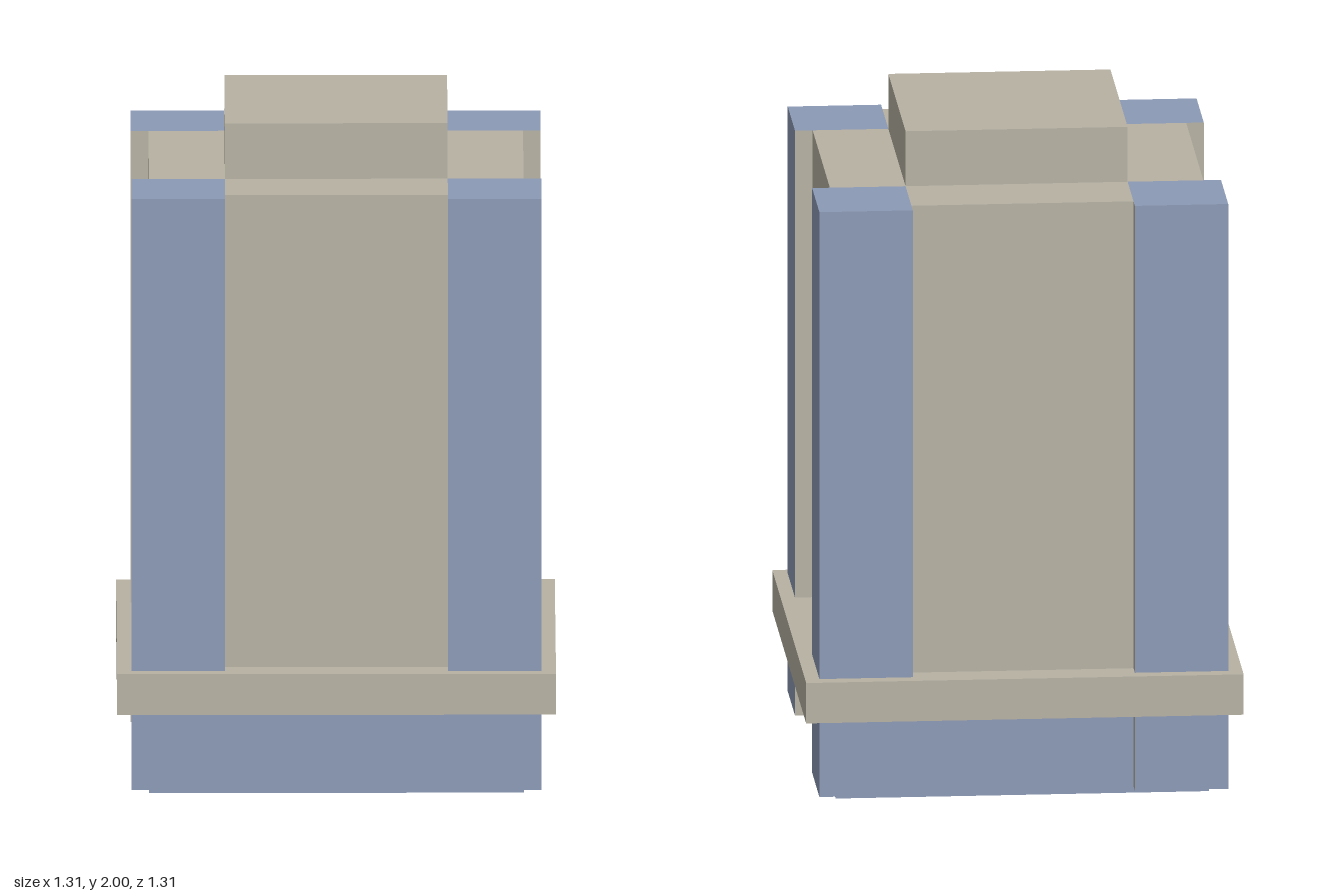
import * as THREE from 'three';

const stone = new THREE.MeshStandardMaterial({ color: 0xb7b2a3 });
const blue = new THREE.MeshStandardMaterial({ color: 0x8c9ab6 });

// half-widths
const CAP = 0.333, BODY = 0.56, POST = 0.613, BAND = 0.656, LINING = 0.556;
// heights
const POST_FOOT = 0.02, BAND_LOW = 0.26, BAND_TOP = 0.385, BODY_TOP = 1.83, TOP = 2;

// box given by its limits along each axis
function box(name, [x0, x1], [y0, y1], [z0, z1], material) {
  const w = Math.abs(x1 - x0), d = Math.abs(z1 - z0);
  const mesh = new THREE.Mesh(new THREE.BoxGeometry(w, y1 - y0, d), material);
  mesh.position.set((x0 + x1) / 2, (y0 + y1) / 2, (z0 + z1) / 2);
  mesh.name = name;
  return mesh;
}

// plan outline in x/z raised between two heights
function prism(name, shape, y0, y1, material) {
  const geometry = new THREE.ExtrudeGeometry(shape, { depth: y1 - y0, bevelEnabled: false });
  geometry.rotateX(-Math.PI / 2);
  const mesh = new THREE.Mesh(geometry, material);
  mesh.position.y = y0;
  mesh.name = name;
  return mesh;
}

const outline = (points) => points.map(([x, y]) => new THREE.Vector2(x, y));
const square = (h) => outline([[-h, -h], [h, -h], [h, h], [-h, h]]);

// corner post: solid above the band, an angle-shaped shell below it
function cornerPost(sx, sz) {
  const post = new THREE.Group();
  post.name = 'cornerPost';
  // the two faces turned towards the body are stone
  const faces = [
    sx < 0 ? stone : blue, sx > 0 ? stone : blue, blue, blue,
    sz < 0 ? stone : blue, sz > 0 ? stone : blue,
  ];
  const X = (a, b) => [sx * a, sx * b];
  const Z = (a, b) => [sz * a, sz * b];
  const foot = [POST_FOOT, BAND_TOP], lining = [0, BAND_TOP];
  post.add(
    box('postShaft', X(CAP, POST), [BAND_TOP, BODY_TOP], Z(CAP, POST), faces),
    box('postFootAcross', X(CAP, POST), foot, Z(BODY, POST), faces),
    box('postFootAlong', X(BODY, POST), foot, Z(CAP, BODY), faces),
    box('footLiningAcross', X(CAP, BODY), lining, Z(LINING, BODY), blue),
    box('footLiningAlong', X(LINING, BODY), lining, Z(CAP, LINING), blue),
  );
  return post;
}

export function createModel() {
  const model = new THREE.Group();
  model.name = 'tower';

  // cross-shaped body between the posts
  const cross = new THREE.Shape(outline([
    [-CAP, -BODY], [CAP, -BODY], [CAP, -CAP], [BODY, -CAP], [BODY, CAP], [CAP, CAP],
    [CAP, BODY], [-CAP, BODY], [-CAP, CAP], [-BODY, CAP], [-BODY, -CAP], [-CAP, -CAP],
  ]));
  model.add(prism('body', cross, BAND_TOP, BODY_TOP, stone));
  model.add(box('cap', [-CAP, CAP], [BODY_TOP, TOP], [-CAP, CAP], stone));

  // band around the hollow base
  const ring = new THREE.Shape(square(BAND));
  ring.holes.push(new THREE.Path(square(BODY).reverse()));
  model.add(prism('band', ring, BAND_LOW, BAND_TOP, stone));

  // ceiling of the hollow base
  model.add(box('baseCeiling', [-LINING, LINING], [BAND_TOP - 0.005, BAND_TOP], [-LINING, LINING], stone));

  for (const sx of [-1, 1]) for (const sz of [-1, 1]) model.add(cornerPost(sx, sz));

  // thin skirt panels: blue outside, stone inside
  for (let i = 0; i < 4; i++) {
    const skirt = box('skirtPanel', [-CAP, CAP], [0, BAND_TOP], [LINING, BODY],
      [blue, blue, blue, blue, blue, stone]);
    const side = new THREE.Group();
    side.name = 'skirtSide';
    side.rotation.y = i * Math.PI / 2;
    side.add(skirt);
    model.add(side);
  }
  return model;
}
